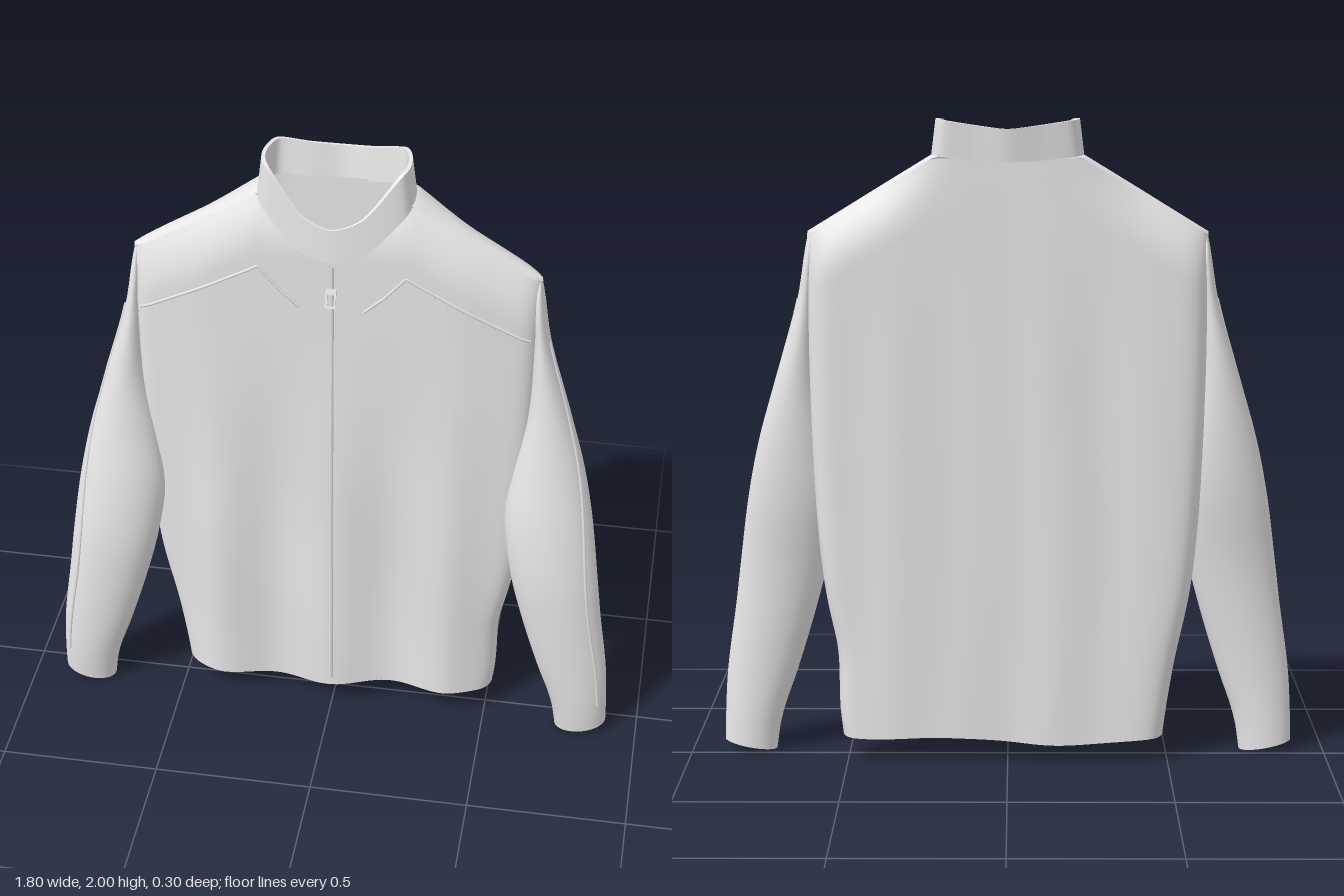
import * as THREE from 'three';

const fabric = new THREE.MeshStandardMaterial({ color: 0xe7e7e7, side: THREE.DoubleSide });
fabric.name = 'pale fabric';

const { lerp, smoothstep, clamp } = THREE.MathUtils;
const V = (x, y, z) => new THREE.Vector3(x, y, z);

// Surface through f(u, v); u wraps around when closed
function grid(nu, nv, closed, f) {
  const pos = [], idx = [], cols = closed ? nu : nu + 1;
  for (let j = 0; j <= nv; j++)
    for (let i = 0; i < cols; i++) pos.push(...f(i / nu, j / nv));
  for (let j = 0; j < nv; j++)
    for (let i = 0; i < nu; i++) {
      const a = j * cols + i, b = j * cols + (i + 1) % cols;
      idx.push(a, b, a + cols, b, b + cols, a + cols);
    }
  const g = new THREE.BufferGeometry();
  g.setAttribute('position', new THREE.Float32BufferAttribute(pos, 3));
  g.setIndex(idx);
  g.computeVertexNormals();
  return g;
}

function add(parent, name, geometry) {
  const m = new THREE.Mesh(geometry, fabric);
  m.name = name;
  parent.add(m);
  return m;
}

// Smooth table lookup, first column is the (rising) key
function table(rows) {
  const n = rows[0].length - 1;
  const c = new THREE.CubicInterpolant(rows.map(r => r[0]), rows.flatMap(r => r.slice(1)), n, new Float32Array(n));
  return t => [...c.evaluate(t)];
}

// Torso shape rules; the left side flares a little at the hem
const MID = -0.015;
const widthAt = table([[0, 0.48], [0.1, 0.49], [0.3, 0.52], [0.55, 0.57], [0.9, 0.6], [1.3, 0.612], [1.65, 0.612], [2, 0.612]]);
const halfWidth = (y, x) => widthAt(y)[0] + (x > 0 ? 0.03 * (1 - smoothstep(y, 0.12, 0.4)) : 0);
const shoulderY = x => 1.89 - Math.max(0, Math.abs(x) - 0.22) * 0.615;
function topY(x, front) {
  const a = Math.abs(x);
  if (a > 0.22) return shoulderY(x);
  return front ? 1.72 + 0.17 * Math.pow(a / 0.22, 2.2) : 1.885;
}
const hemY = (x, front) => (front ? 0.085 : 0.072) + 0.014 * Math.sin(x * 7) * (1 - Math.min(1, x * x * 4)) + 0.03 * x * x;
function torsoZ(x, y, front) {
  const a = Math.abs(x), s = Math.min(1, a / halfWidth(y, x));
  const edge = Math.sqrt(1 - Math.pow(s, 20));
  const d = shoulderY(x) - y;
  const start = front ? 0.42 : lerp(1, 0.42, smoothstep(a, 0.15, 0.42));
  const k = clamp(d / 0.17, 0, 1);
  const swell = lerp(start, 1, k * (2 - k));
  const low = smoothstep(d, 0.3, 1.4);
  const outer = smoothstep(a, 0.35, 0.56);
  const fold = front
    ? low * (1 - 0.7 * outer) * (0.019 * Math.cos(x * 17) + 0.004 * Math.sin(x * 9 + y * 7))
    : smoothstep(d, 0.1, 0.7) * (0.003 * Math.cos(x * 25 + Math.sin(y * 2)) + 0.004 * Math.sin(x * 15 + 1 - y));
  const depth = front ? 0.09 - 0.018 * outer : -0.093;
  return MID + (depth * swell + fold) * edge;
}

// Polyline laid over the front of the torso as a thin cord
function cord(points, radius) {
  const out = [];
  for (let k = 0; k < points.length - 1; k++) {
    const [a, b] = [points[k], points[k + 1]];
    for (let i = k ? 1 : 0; i <= 16; i++) {
      const x = lerp(a[0], b[0], i / 16), y = lerp(a[1], b[1], i / 16);
      out.push(V(x, y, torsoZ(x, y, true) + radius * 0.6));
    }
  }
  return new THREE.TubeGeometry(new THREE.CatmullRomCurve3(out), out.length * 2, radius, 6);
}

// Sleeve slices: y, inner x, outer x, back z, front z
const sleeveAt = table([
  [0.02, 0.735, 0.9, 0, 0.12], [0.1, 0.722, 0.898, 0, 0.13], [0.25, 0.67, 0.89, 0, 0.14],
  [0.48, 0.6, 0.858, -0.01, 0.148], [0.62, 0.565, 0.84, -0.022, 0.148], [0.83, 0.537, 0.81, -0.05, 0.128],
  [1.0, 0.555, 0.775, -0.062, 0.1], [1.2, 0.588, 0.718, -0.066, 0.07], [1.45, 0.594, 0.645, -0.058, 0.042],
  [1.61, 0.592, 0.618, -0.05, 0.02], [1.65, 0.6, 0.61, -0.03, 0]]);
function sleevePoint(y, angle, side) {
  const [xi, xo, zb, zf] = sleeveAt(y);
  const c = Math.cos(angle), s = Math.sin(angle);
  const tilt = 0.016 * c * (1 - smoothstep(y, 0.02, 0.2));
  return [side * ((xi + xo) / 2 + (xo - xi) / 2 * c), y + tilt, (zb + zf) / 2 + (zf - zb) / 2 * s];
}

export function createModel() {
  const jacket = new THREE.Group();
  jacket.name = 'jacket';

  // Torso: one closed loop of front and back panels
  add(jacket, 'torso', grid(160, 64, true, (u, v) => {
    const front = u < 0.5;
    const s = Math.sin(((front ? u : 1 - u) * 4 - 1) * Math.PI / 2);
    const y = lerp(hemY(s * 0.49, front), topY(s * 0.612, front), v);
    const x = s * halfWidth(y, s);
    return [x, y, torsoZ(x, y, front)];
  }));

  // Collar plan from back centre to front centre: x, z, bottom y, top y
  const half = [
    [0, -0.135, 1.875, 1.975], [0.1, -0.118, 1.88, 1.985], [0.197, -0.104, 1.89, 1.998], [0.224, -0.06, 1.893, 2],
    [0.226, 0.005, 1.885, 2], [0.203, 0.052, 1.855, 1.985], [0.1, 0.084, 1.745, 1.86], [0, 0.095, 1.715, 1.82]];
  const loop = [...half.map(p => [-p[0], ...p.slice(1)]), ...half.slice(1, -1).reverse()];
  const ring = (k, scale, flare) => new THREE.CatmullRomCurve3(
    loop.map(p => V(p[0] * scale, p[k], (p[1] + 0.02) * scale - 0.02 - (p[1] < -0.09 ? flare : 0))), true, 'catmullrom', 0.4);
  const rings = [ring(2, 1.02, 0), ring(3, 0.96, 0.016), ring(3, 0.91, 0.012), ring(2, 0.92, -0.005)];
  const collar = new THREE.Group();
  collar.name = 'collar';
  jacket.add(collar);
  ['collarOutside', 'collarRim', 'collarLining'].forEach((name, k) =>
    add(collar, name, grid(84, k === 1 ? 1 : 4, true, (u, v) =>
      rings[k].getPoint(u).lerp(rings[k + 1].getPoint(u), v).toArray())));

  for (const side of [1, -1]) {
    const label = side > 0 ? 'left' : 'right';

    // Rounded shoulder ridge joining front and back
    add(jacket, label + 'Shoulder', grid(20, 8, false, (u, v) => {
      const x = side * lerp(0.21, 0.611, side > 0 ? u : 1 - u), y = shoulderY(x);
      const z = lerp(torsoZ(x, y, true), torsoZ(x, y, false), v);
      return [x, y + 0.01 * Math.sin(v * Math.PI), z];
    }));

    // Sleeve, open at the cuff
    add(jacket, label + 'Sleeve', grid(36, 48, true, (u, v) =>
      sleevePoint(lerp(1.65, 0.02, v), u * Math.PI * 2 * side, side)));

    // Piping down the sleeve
    const line = [];
    for (let i = 0; i <= 24; i++) {
      const y = lerp(1.45, 0.13, i / 24);
      line.push(V(...sleevePoint(y, lerp(0.3, 0.74, smoothstep(i / 24, 0, 0.75)), side)));
    }
    add(jacket, label + 'SleevePiping', new THREE.TubeGeometry(new THREE.CatmullRomCurve3(line), 60, 0.005, 6));

    // Piping across the chest
    add(jacket, label + 'ChestPiping', cord(
      [[0.588, 1.468], [0.22, 1.67], [0.155, 1.595], [0.095, 1.54]].map(p => [p[0] * side, p[1]]), 0.0045));
  }

  // Zip
  add(jacket, 'zip', cord([[0, 0.125], [0, 0.6], [0, 1.1], [0, 1.69]], 0.007));

  // Zip pull: small frame hanging off the slider
  const frame = new THREE.Shape([[-0.016, -0.06], [0.016, -0.06], [0.016, 0], [-0.016, 0]].map(p => new THREE.Vector2(...p)));
  frame.holes.push(new THREE.Path([[-0.01, -0.054], [-0.01, -0.018], [0.01, -0.018], [0.01, -0.054]].map(p => new THREE.Vector2(...p))));
  const pull = add(jacket, 'zipPull', new THREE.ExtrudeGeometry(frame, { depth: 0.006, bevelEnabled: false }));
  pull.position.set(0, 1.618, torsoZ(0, 1.618, true) + 0.008);
  pull.rotation.x = -0.3;
  return jacket;
}
